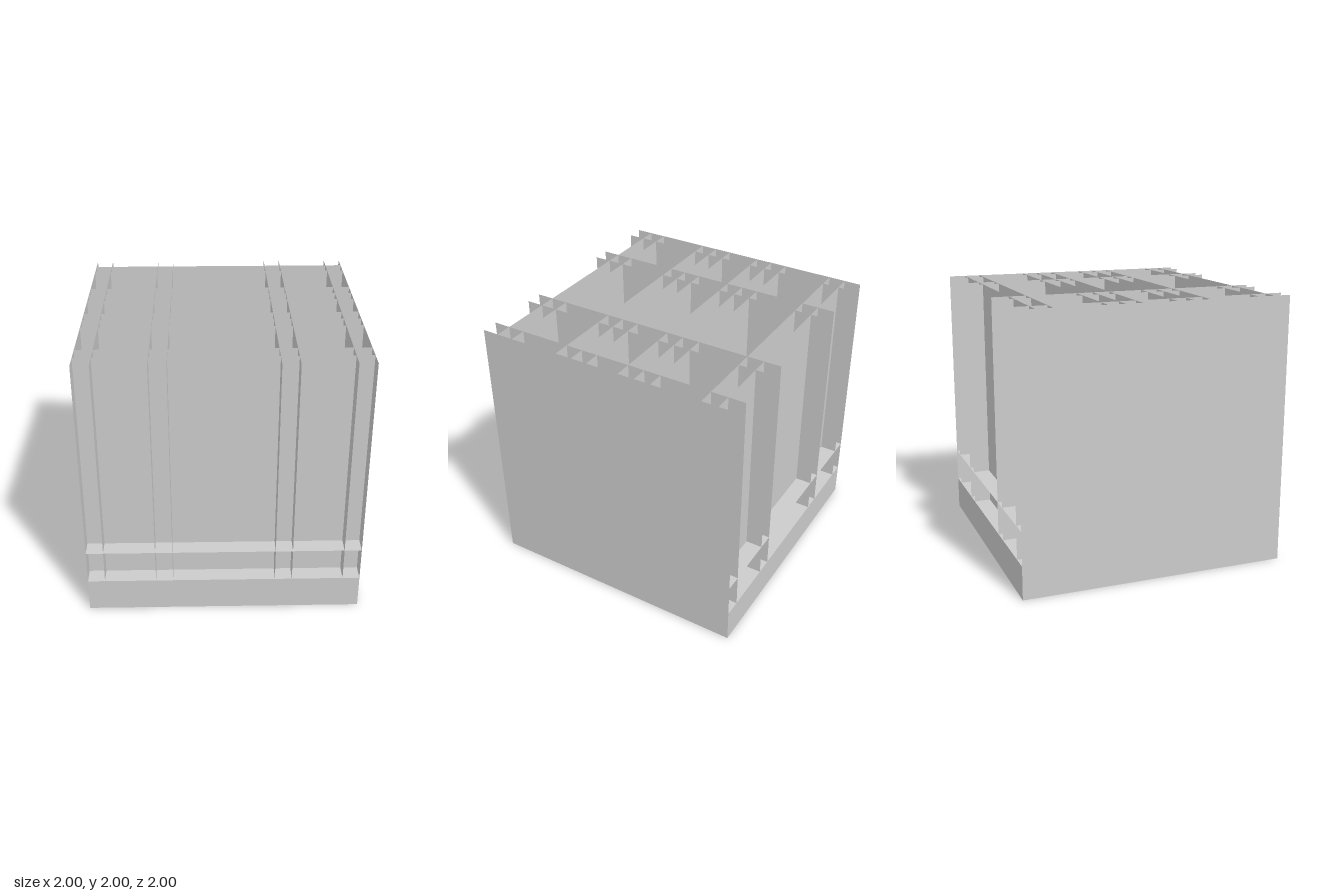
import * as THREE from 'three';

export function createModel() {
  const group = new THREE.Group();
  const material = new THREE.MeshStandardMaterial({ color: 0xcccccc, side: THREE.DoubleSide });

  // One thin sheet, facing +z before it is turned
  function sheet(name, w, h, position, rotation = [0, 0, 0]) {
    const mesh = new THREE.Mesh(new THREE.PlaneGeometry(w, h), material);
    mesh.name = name;
    mesh.position.set(...position);
    mesh.rotation.set(...rotation);
    group.add(mesh);
  }

  for (const side of [-1, 1]) {
    // Lengthwise upright sheets, the outermost ones closing the sides
    for (const x of [0.375, 0.5, 0.875, 1]) {
      sheet(x === 1 ? 'sidePanel' : 'lengthwiseDivider', 2, 2, [side * x, 1, 0], [0, side * Math.PI / 2, 0]);
    }
    // Crosswise upright sheets, set in from the front and back
    for (const z of [0.125, 0.25, 0.375, 0.75, 0.875]) {
      sheet('crossDivider', 2, 2, [0, 1, side * z], [0, side > 0 ? 0 : Math.PI, 0]);
    }
    // Low board along the front and back
    sheet(side > 0 ? 'frontBaseBoard' : 'backBaseBoard', 2, 0.25, [0, 0.125, side], [0, side > 0 ? 0 : Math.PI, 0]);
  }

  // Horizontal shelves
  for (const y of [0.25, 0.5]) sheet('shelf', 2, 2, [0, y, 0], [-Math.PI / 2, 0, 0]);

  return group;
}
